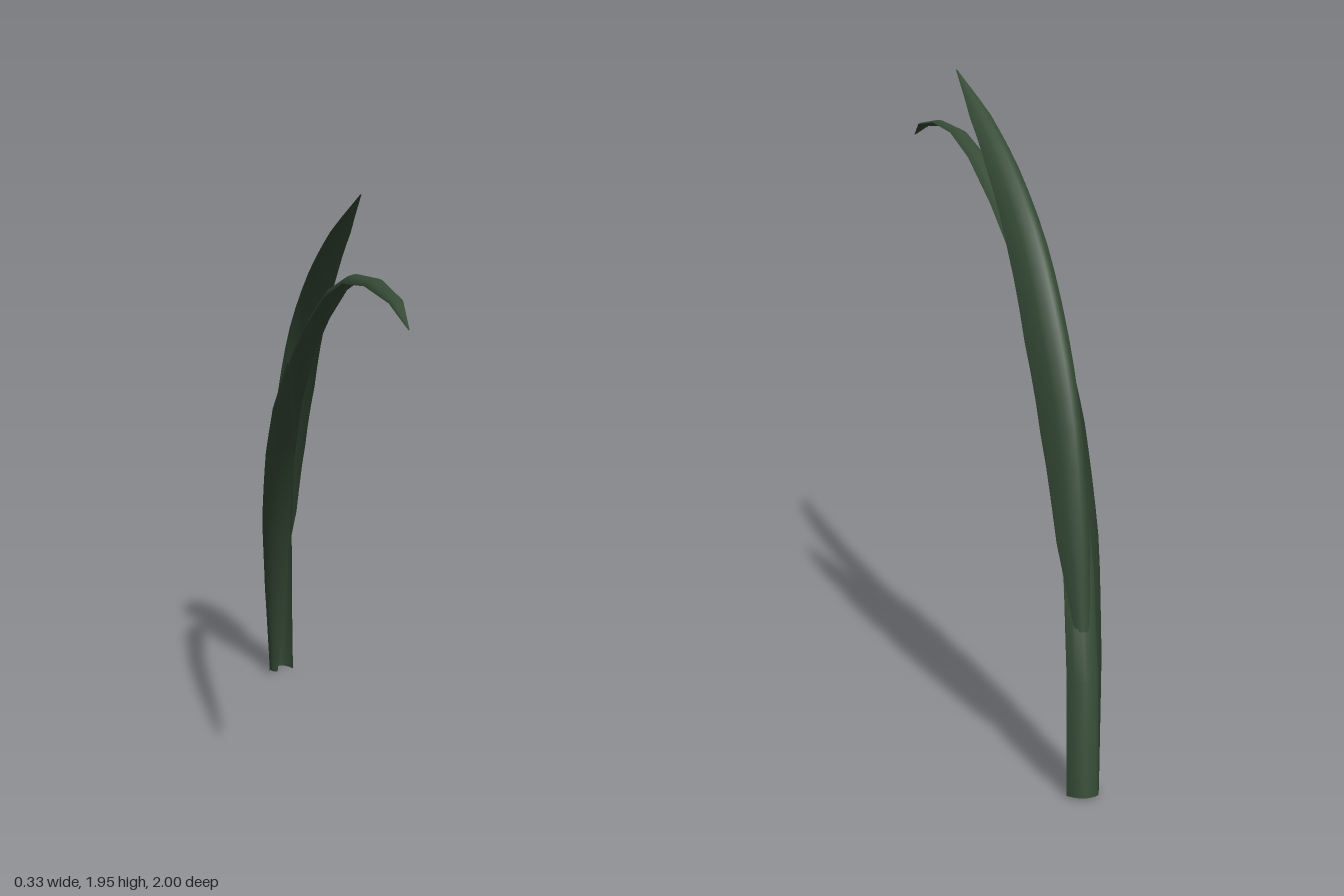
import * as THREE from 'three';

const ACROSS = 10;

// Rows are [x, y, z, width, bulge, tilt]; tilt turns the section about the blade's own line.
// The bulge side is -1 for a crest at the back and +1 for a crest at the front.
// A higher power gives a flatter crest with steeper flanks.
function makeBlade(name, rows, side, power, steps, material) {
  const path = new THREE.CatmullRomCurve3(rows.map(r => new THREE.Vector3(r[0], r[1], r[2])));
  const positions = [], indices = [];
  for (let i = 0; i <= steps; i++) {
    const t = i / steps;
    const f = t * (rows.length - 1), k = Math.min(Math.floor(f), rows.length - 2);
    const mix = c => THREE.MathUtils.lerp(rows[k][c], rows[k + 1][c], f - k);
    const width = mix(3), bulge = mix(4), tilt = mix(5);
    const centre = path.getPoint(t), along = path.getTangent(t);
    const across = new THREE.Vector3(1, 0, 0);
    across.addScaledVector(along, -across.dot(along)).normalize();
    across.applyAxisAngle(along, -tilt);
    const normal = across.clone().cross(along);
    // Curved channel section
    for (let j = 0; j <= ACROSS; j++) {
      const u = Math.sin((j / ACROSS - 0.5) * Math.PI);
      const p = centre.clone()
        .addScaledVector(across, u * width / 2)
        .addScaledVector(normal, -side * bulge * Math.abs(u) ** power);
      positions.push(p.x, p.y, p.z);
      if (i < steps && j < ACROSS) {
        const a = i * (ACROSS + 1) + j, b = a + ACROSS + 1;
        indices.push(a, a + 1, b, a + 1, b + 1, b);
      }
    }
  }
  const geometry = new THREE.BufferGeometry();
  geometry.setAttribute('position', new THREE.Float32BufferAttribute(positions, 3));
  geometry.setIndex(indices);
  geometry.computeVertexNormals();
  const mesh = new THREE.Mesh(geometry, material);
  mesh.name = name;
  return mesh;
}

export function createModel() {
  const group = new THREE.Group();
  group.name = 'grassTuft';
  const green = new THREE.MeshStandardMaterial({ color: 0x374c37, side: THREE.DoubleSide });

  // Long blade arching forward, cupped round the base
  group.add(makeBlade('longBlade', [
    [0.108, 0.012, -0.997, 0.1, 0.045, -0.1],
    [0.098, 0.33, -0.968, 0.1, 0.042, -0.12],
    [0.077, 0.62, -0.892, 0.1, 0.036, -0.16],
    [0.048, 0.93, -0.758, 0.098, 0.031, -0.2],
    [0.023, 1.187, -0.579, 0.095, 0.028, -0.22],
    [0.001, 1.407, -0.37, 0.09, 0.026, -0.22],
    [-0.016, 1.567, -0.15, 0.084, 0.024, -0.22],
    [-0.043, 1.697, 0.1, 0.075, 0.021, -0.22],
    [-0.07, 1.769, 0.33, 0.067, 0.017, -0.2],
    [-0.1, 1.796, 0.58, 0.056, 0.013, -0.2],
    [-0.13, 1.783, 0.82, 0.038, 0.008, -0.2],
    [-0.165, 1.737, 1.0, 0.003, 0, -0.2],
  ], -1, 3, 11, green));

  // Tall broad blade growing from the back
  group.add(makeBlade('tallBlade', [
    [0.1, 0.46, -0.937, 0.05, 0.015, 0],
    [0.097, 0.7, -0.906, 0.1, 0.055, 0],
    [0.09, 1.0, -0.838, 0.125, 0.084, 0],
    [0.087, 1.25, -0.735, 0.135, 0.086, 0],
    [0.082, 1.5, -0.575, 0.126, 0.07, 0],
    [0.078, 1.7, -0.375, 0.104, 0.046, 0],
    [0.074, 1.84, -0.18, 0.072, 0.024, 0],
    [0.07, 1.96, 0.03, 0.004, 0, 0],
  ], -1, 2, 21, green));

  // Short blade at the front, turned sideways
  group.add(makeBlade('shortBlade', [
    [0.078, 0.012, -0.955, 0.035, 0.008, 0.8],
    [0.06, 0.37, -0.871, 0.095, 0.016, 0.8],
    [0.032, 0.67, -0.77, 0.118, 0.018, 0.8],
    [0.003, 0.95, -0.628, 0.118, 0.018, 0.82],
    [-0.02, 1.155, -0.492, 0.096, 0.014, 0.85],
    [-0.05, 1.38, -0.33, 0.004, 0, 0.85],
  ], 1, 2, 20, green));

  return group;
}
